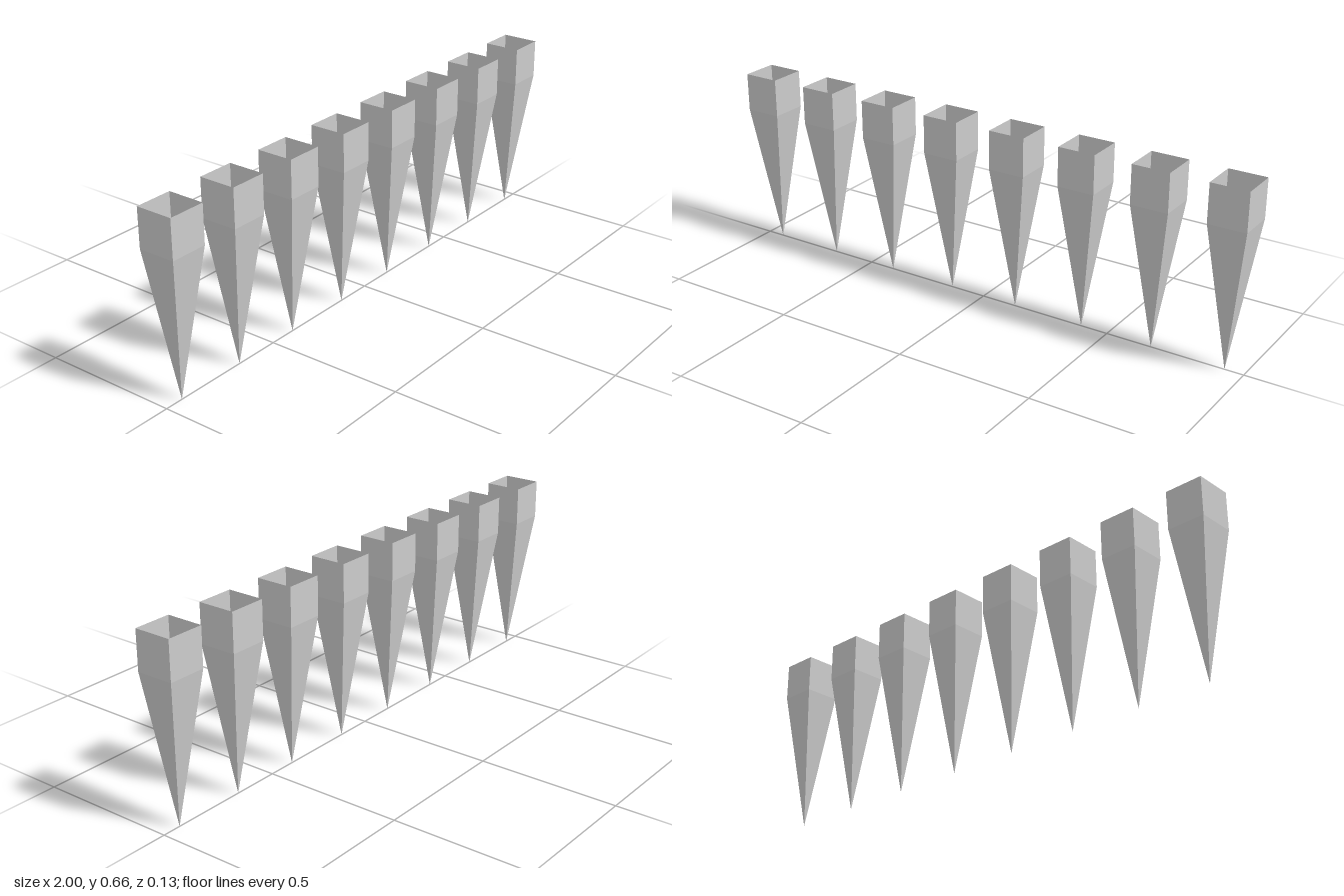
import * as THREE from 'three';

const COUNT = 8;
const HALF = 0.067;       // half the width of a spike
const SHOULDER = 0.525;   // height where the taper meets the straight collar
const TOP = 0.663;

// Square section swept by a four-sided lathe, turned so its flats face x and z
function squareShell(profile) {
  const points = profile.map(([half, y]) => new THREE.Vector2(half * Math.SQRT2, y));
  return new THREE.LatheGeometry(points, 4, Math.PI / 4);
}

export function createModel() {
  const model = new THREE.Group();
  model.name = 'spikeRow';

  const material = new THREE.MeshStandardMaterial({
    color: 0xcccccc, flatShading: true, side: THREE.DoubleSide,
  });

  // Hollow spike, open at the top: pointed shaft and straight square collar
  const shaft = squareShell([[0, 0], [HALF, SHOULDER]]);
  const collar = squareShell([[HALF, SHOULDER], [HALF, TOP]]);

  // Evenly spaced row along x
  const reach = 1 - HALF;
  for (let i = 0; i < COUNT; i++) {
    const spike = new THREE.Group();
    spike.name = `spike${i + 1}`;
    for (const [name, geometry] of [['shaft', shaft], ['collar', collar]]) {
      const mesh = new THREE.Mesh(geometry, material);
      mesh.name = name;
      spike.add(mesh);
    }
    spike.position.x = -reach + (2 * reach * i) / (COUNT - 1);
    model.add(spike);
  }
  return model;
}
